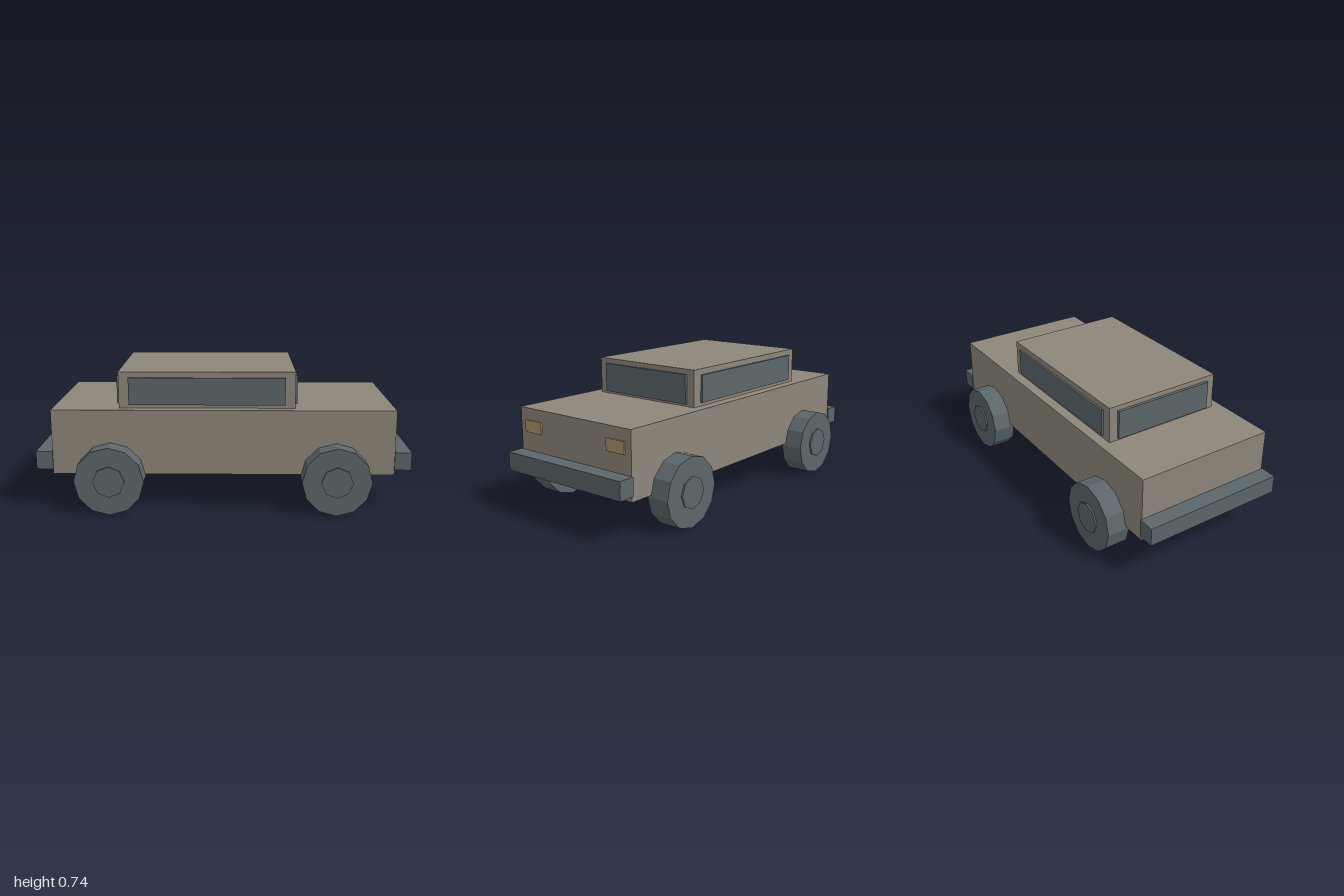
import * as THREE from 'three';

const paint = new THREE.MeshStandardMaterial({ name: 'bodyPaint', color: 0x8e867a });
const slate = new THREE.MeshStandardMaterial({ name: 'slateTrim', color: 0x5b676b });
const amber = new THREE.MeshStandardMaterial({ name: 'amberLamp', color: 0xae956a });

// Box given by its [min, max] range on each axis
function box(name, material, x, y, z) {
  const mesh = new THREE.Mesh(new THREE.BoxGeometry(x[1] - x[0], y[1] - y[0], z[1] - z[0]), material);
  mesh.position.set((x[0] + x[1]) / 2, (y[0] + y[1]) / 2, (z[0] + z[1]) / 2);
  mesh.name = name;
  return mesh;
}

// Faceted disc with its axis along z and a corner at the top
function disc(name, radius, sides, z0, z1) {
  const geometry = new THREE.CylinderGeometry(radius, radius, z1 - z0, sides).rotateX(Math.PI / 2).toNonIndexed();
  geometry.computeVertexNormals();
  const mesh = new THREE.Mesh(geometry, slate);
  mesh.position.z = (z0 + z1) / 2;
  mesh.name = name;
  return mesh;
}

export function createModel() {
  const car = new THREE.Group();
  car.name = 'car';

  // Body and cabin
  car.add(box('body', paint, [-0.913, 0.913], [0.196, 0.547], [-0.386, 0.386]));
  car.add(box('cabin', paint, [-0.558, 0.382], [0.547, 0.742], [-0.331, 0.331]));

  // Windscreen and rear window
  car.add(box('windscreen', slate, [0.38, 0.395], [0.56, 0.715], [-0.283, 0.283]));
  car.add(box('rearWindow', slate, [-0.573, -0.556], [0.56, 0.715], [-0.283, 0.283]));

  // Bumpers
  car.add(box('frontBumper', slate, [0.911, 1], [0.225, 0.322], [-0.394, 0.394]));
  car.add(box('rearBumper', slate, [-1, -0.911], [0.225, 0.322], [-0.394, 0.394]));

  for (const side of [1, -1]) {
    const label = side > 0 ? 'left' : 'right';
    const span = (a, b) => (side > 0 ? [a, b] : [-b, -a]);

    // Side window and headlight
    car.add(box(label + 'SideWindow', slate, [-0.505, 0.328], [0.565, 0.711], span(0.329, 0.342)));
    car.add(box(label + 'Headlight', amber, [0.905, 0.921], [0.421, 0.485], span(0.23, 0.348)));

    // Wheels with raised hubs
    for (const [end, x] of [['Front', 0.598], ['Rear', -0.602]]) {
      const wheel = new THREE.Group();
      wheel.name = label + end + 'Wheel';
      wheel.add(disc('tyre', 0.1845, 12, ...span(0.365, 0.49)));
      wheel.add(disc('hub', 0.084, 8, ...span(0.48, 0.499)));
      wheel.position.set(x, 0.1845, 0);
      car.add(wheel);
    }
  }
  return car;
}
